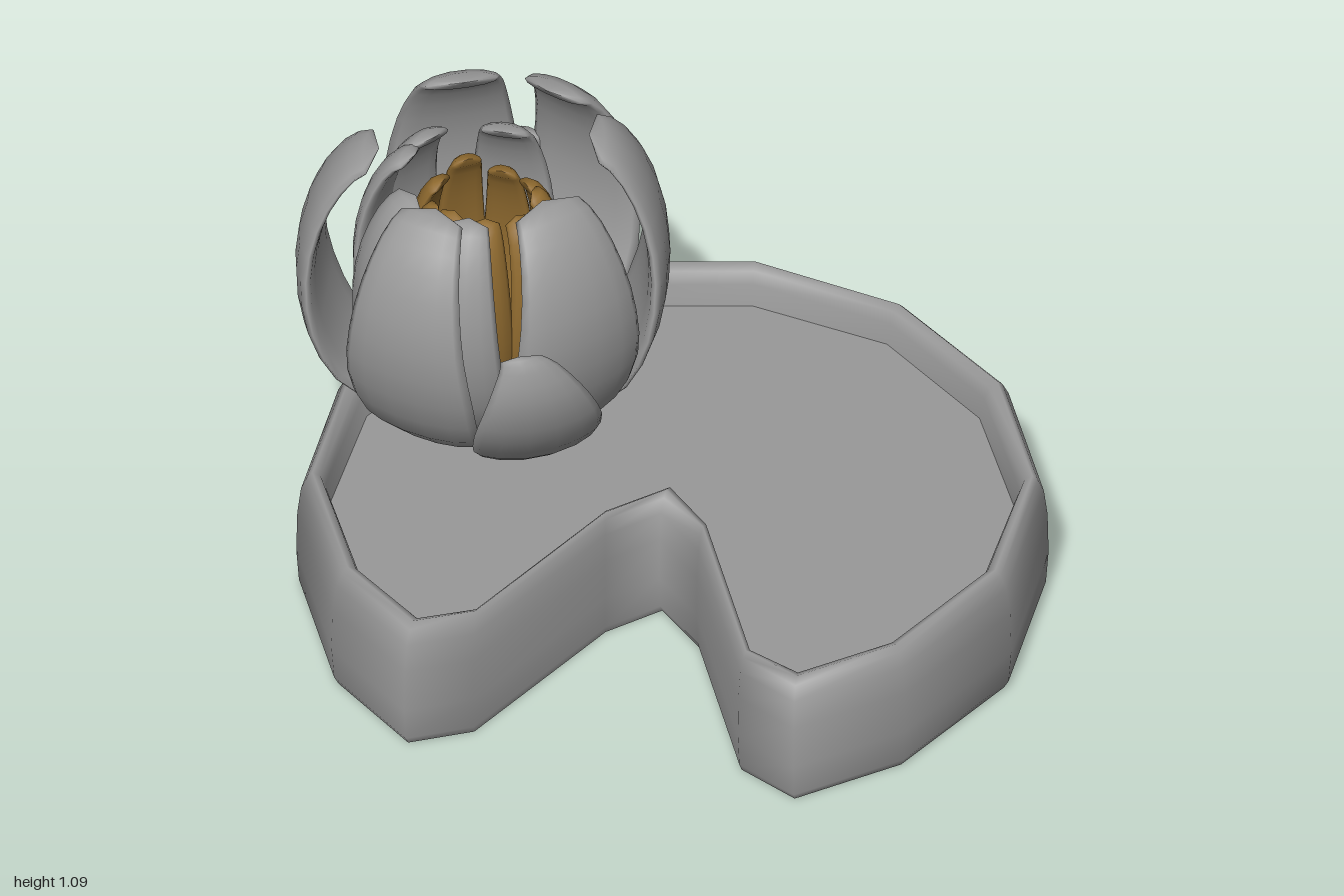
import * as THREE from 'three';

const grey = new THREE.MeshStandardMaterial({ color: 0x999999, side: THREE.DoubleSide });
const gold = new THREE.MeshStandardMaterial({ color: 0x8f6a2f, side: THREE.DoubleSide });

// Skin between closed rings of Vector3, running from bottom to top
function loft(rings) {
  const n = rings[0].length;
  const index = [];
  for (let i = 0; i < rings.length - 1; i++) {
    for (let j = 0; j < n; j++) {
      const k = (j + 1) % n;
      const a = i * n + j, b = a + n, c = i * n + k, d = c + n;
      index.push(a, b, c, c, b, d);
    }
  }
  const geo = new THREE.BufferGeometry().setFromPoints(rings.flat());
  geo.setIndex(index);
  geo.computeVertexNormals();
  return geo;
}

function addMesh(parent, name, geo, material) {
  const mesh = new THREE.Mesh(geo, material);
  mesh.name = name;
  parent.add(mesh);
  return mesh;
}

// Notched leaf: outer edge and matching inner edge of the rim, as [x, z]
const OUTER = [[0.21, -0.88], [0.595, -0.70], [0.86, -0.36], [0.955, 0.05], [0.86, 0.46], [0.595, 0.80],
  [0.21, 0.985], [-0.11, 1.0], [-0.18, 0.82], [-0.06, 0.32], [-0.08, 0.14], [-0.24, 0.16],
  [-0.72, 0.395], [-0.90, 0.365], [-0.955, 0.05], [-0.86, -0.36], [-0.595, -0.70], [-0.21, -0.88]];
const INNER = [[0.20, -0.78], [0.54, -0.62], [0.78, -0.33], [0.86, 0.05], [0.78, 0.43], [0.54, 0.72],
  [0.21, 0.88], [-0.04, 0.89], [-0.11, 0.77], [0.015, 0.24], [0, 0.06], [-0.20, 0.08],
  [-0.67, 0.31], [-0.81, 0.28], [-0.86, 0.05], [-0.78, -0.33], [-0.54, -0.62], [-0.20, -0.78]];

function createPad() {
  const pad = new THREE.Group();
  pad.name = 'lilyPad';
  const edge = (f) => OUTER.map(([x, z], i) => [
    THREE.MathUtils.lerp(x, INNER[i][0], f), THREE.MathUtils.lerp(z, INNER[i][1], f)]);
  // Rim section: [inset fraction, height]
  const section = [[0.22, 0], [0.08, 0.025], [0, 0.12], [0.03, 0.24], [0.14, 0.315],
    [0.32, 0.35], [0.48, 0.365], [0.72, 0.352], [0.86, 0.32], [1, 0.262]];
  addMesh(pad, 'padRim', loft(section.map(([f, y]) =>
    edge(f).map(([x, z]) => new THREE.Vector3(x, y, z)))), grey);

  const cap = (f, sign) => new THREE.ShapeGeometry(
    new THREE.Shape(edge(f).map(([x, z]) => new THREE.Vector2(x, sign * z))));
  addMesh(pad, 'padFloor', cap(1, -1).rotateX(-Math.PI / 2).translate(0, 0.262, 0), grey);
  addMesh(pad, 'padUnderside', cap(0.22, 1).rotateX(Math.PI / 2), grey);
  return pad;
}

// Petal growing from the axis; profile is [radius, height, half width],
// cup pulls the edges inwards and lean shifts the tip sideways
function petalGeometry(profile, thickness, cup, lean = 0) {
  const curve = new THREE.CatmullRomCurve3(profile.map((p) => new THREE.Vector3(...p)));
  const rows = 16, sides = 14;
  const rings = [];
  for (let i = 0; i <= rows; i++) {
    const t = i / rows;
    const p = curve.getPoint(t), d = curve.getTangent(t);
    const len = Math.hypot(d.x, d.y);
    const nr = d.y / len, ny = -d.x / len;
    const end = i === rows ? 0 : 1;
    const th = thickness * (0.6 + 0.4 * Math.sin(Math.PI * t)) * end;
    const w = p.z * end;
    const ring = [];
    for (let j = 0; j < sides; j++) {
      const phi = (j / sides) * Math.PI * 2;
      const s = Math.cos(phi), o = th * Math.sin(phi);
      ring.push(new THREE.Vector3(w * s + lean * (t - 0.4), p.y + ny * o, p.x + nr * o - cup * w * s * s));
    }
    rings.push(ring);
  }
  return loft(rings);
}

// Tall petals close inwards at the tip
function tallProfile(R, h, w) {
  const y = (f) => 0.3 + f * (h - 0.3);
  return [[0.02, 0.29, 0.05], [R * 0.45, 0.31, w * 0.6], [R * 0.76, y(0.12), w * 0.88],
    [R * 0.95, y(0.34), w], [R, y(0.58), w * 0.9], [R * 0.92, y(0.8), w * 0.74],
    [R * 0.76, y(0.95), w * 0.57], [R * 0.6, h, w * 0.42]];
}

// Low petals lean outwards
function lowProfile(R, h, w) {
  return [[0.02, 0.28, 0.05], [R * 0.4, 0.30, w * 0.6], [R * 0.7, 0.39, w * 0.9],
    [R * 0.92, 0.54, w], [R, h - 0.13, w * 0.75], [R * 0.98, h - 0.03, w * 0.42], [R * 0.95, h, w * 0.25]];
}

function createFlower() {
  const flower = new THREE.Group();
  flower.name = 'flower';
  flower.position.set(-0.235, 0, -0.565);
  const add = (name, deg, geo, material) => {
    addMesh(flower, name, geo, material).rotation.y = THREE.MathUtils.degToRad(deg);
  };

  // Outer petals: [angle, radius, height, half width]
  const outer = [[9, 0.43, 1.05, 0.2], [67, 0.44, 1.09, 0.21], [119, 0.45, 1.07, 0.18],
    [167, 0.41, 1.08, 0.19], [238, 0.45, 1.03, 0.19], [307, 0.44, 1.04, 0.18]];
  for (const [a, R, h, w] of outer) add('outerPetal', a, petalGeometry(tallProfile(R, h, w), 0.03, 0.08), grey);

  // Short petals at the front and back: [angle, radius, height, half width, lean]
  const low = [[-8, 0.58, 0.81, 0.17, -0.14], [167, 0.45, 0.8, 0.14, 0], [142, 0.47, 0.78, 0.13, 0]];
  for (const [a, R, h, w, lean] of low) {
    add('lowPetal', a, petalGeometry(lowProfile(R, h, w), 0.025, 0.2, lean), grey);
  }

  // Inner petals in the gaps of the outer ring: [angle, half width]
  for (const [a, w] of [[29, 0.1], [142, 0.12], [195, 0.12], [217, 0.11], [273, 0.12], [323, 0.11]]) {
    const h = 0.97 + 0.02 * Math.sin(a);
    add('innerPetal', a, petalGeometry(tallProfile(0.33, h, w), 0.026, 0.15), grey);
  }

  // Golden heart
  for (let i = 0; i < 9; i++) {
    const h = 0.91 + 0.025 * Math.sin(i * 1.9);
    add('stamen', i * 40 + 15, petalGeometry(tallProfile(0.2, h, 0.075), 0.024, 0.3), gold);
  }
  const heart = addMesh(flower, 'flowerHeart', new THREE.SphereGeometry(0.17, 18, 8), gold);
  heart.scale.y = 0.3;
  heart.position.y = 0.36;
  return flower;
}

export function createModel() {
  const model = new THREE.Group();
  model.name = 'waterLily';
  model.add(createPad(), createFlower());
  return model;
}
